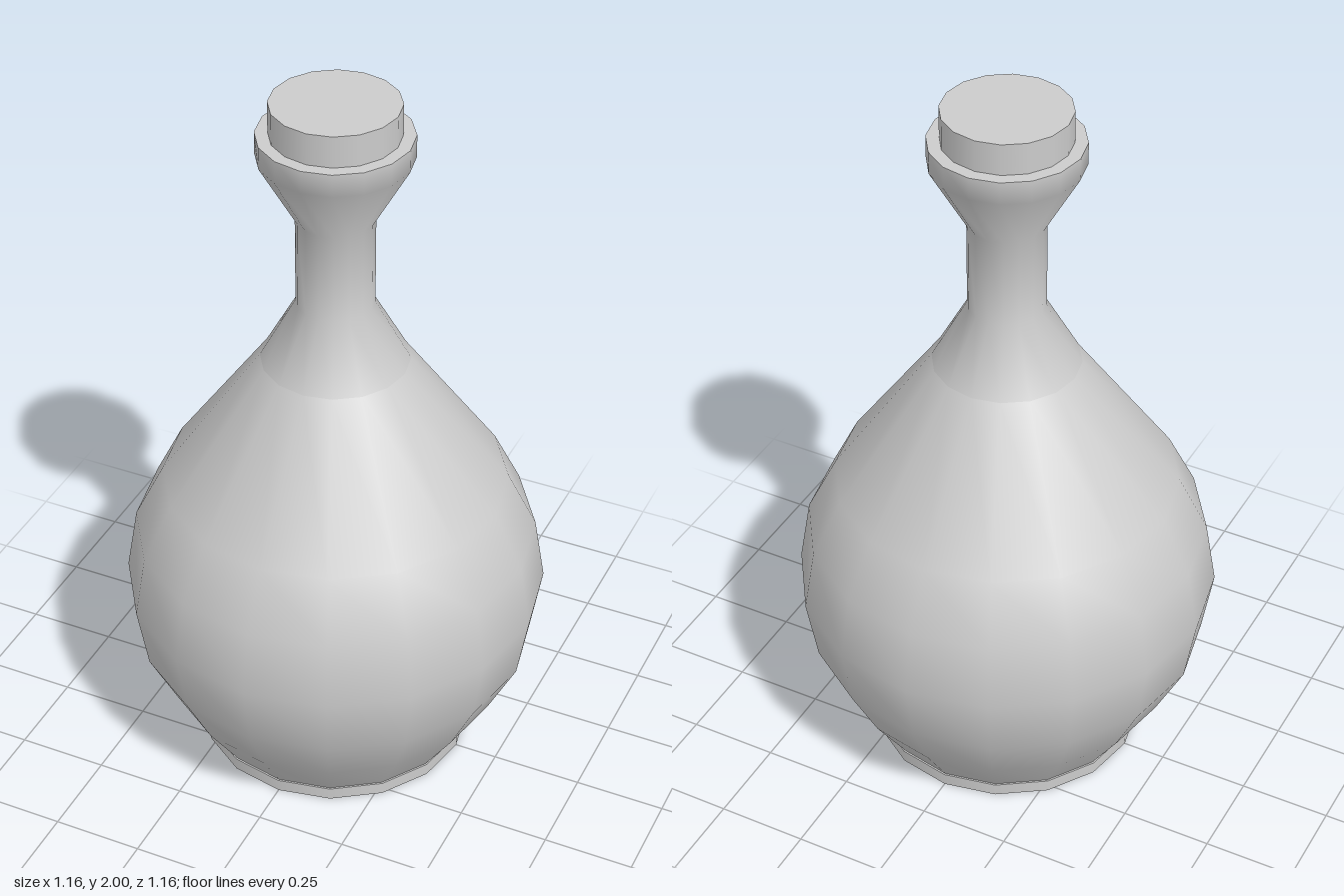
import * as THREE from 'three';

const SIDES = 16;

export function createModel() {
  const group = new THREE.Group();
  const material = new THREE.MeshStandardMaterial({ color: 0xcccccc });

  const add = (name, geometry, y = 0) => {
    const mesh = new THREE.Mesh(geometry, material);
    mesh.name = name;
    mesh.position.y = y;
    group.add(mesh);
  };
  // Profiles are [radius, height] pairs from bottom to top
  const lathe = (profile) =>
    new THREE.LatheGeometry(profile.map(([r, y]) => new THREE.Vector2(r, y)), SIDES);
  const disc = (radius, height) =>
    new THREE.CylinderGeometry(radius, radius, height, SIDES);

  // Flat foot under the flask
  add('foot', disc(0.38, 0.036), 0.018);

  // Round belly rising to the shoulder
  add('body', lathe([
    [0.375, 0.036], [0.47, 0.18], [0.55, 0.34], [0.58, 0.52],
    [0.55, 0.70], [0.47, 0.86], [0.20, 1.24],
  ]));

  // Narrow neck flaring out to the mouth
  add('neck', lathe([
    [0.20, 1.24], [0.104, 1.415], [0.104, 1.67], [0.204, 1.85], [0.204, 1.913],
  ]));

  // Flat top of the mouth
  add('rim', lathe([[0.204, 1.913], [0.16, 1.913]]));

  // Stopper standing in the mouth
  add('stopper', disc(0.17, 0.12), 1.94);

  return group;
}
